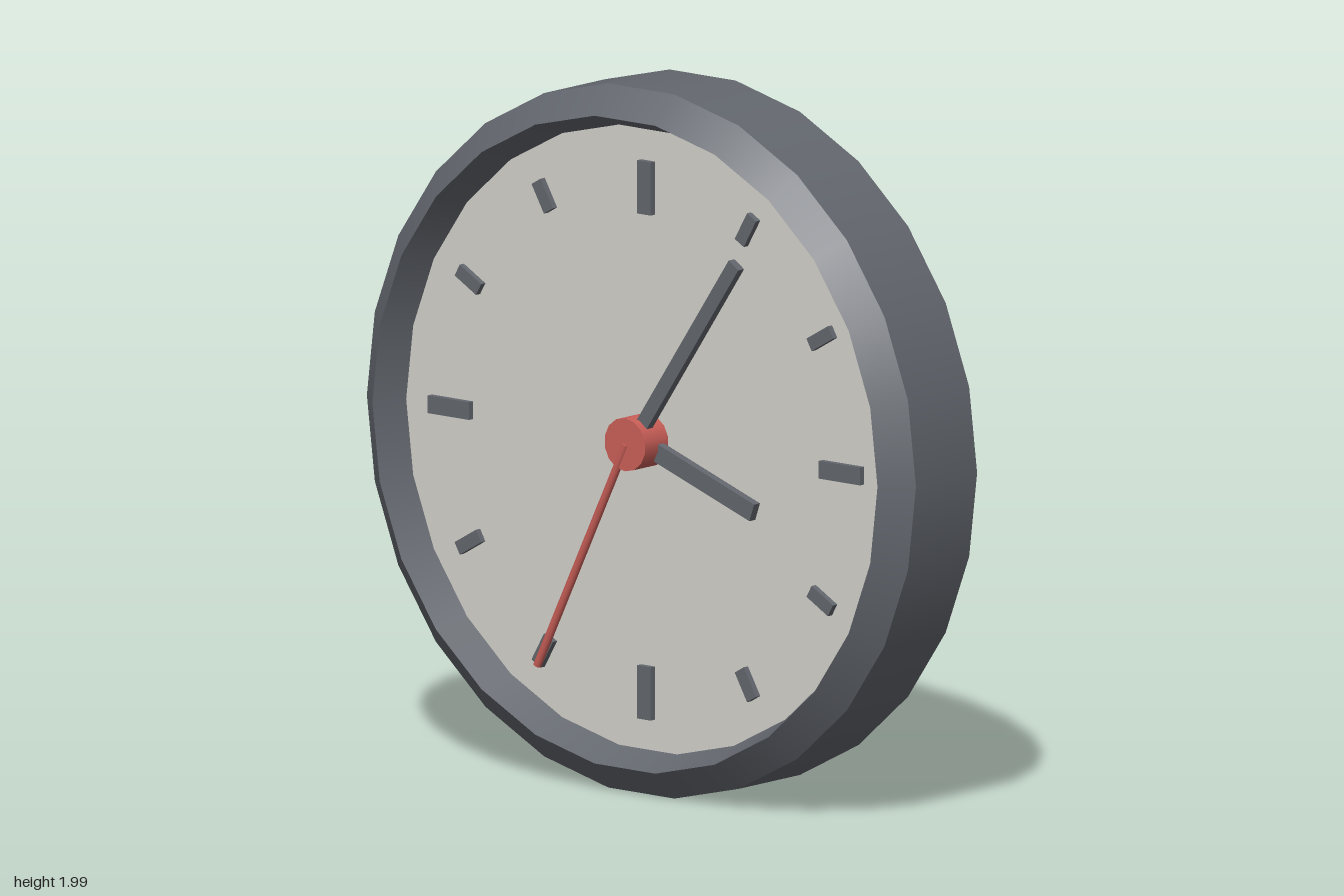
import * as THREE from 'three';

const SIDES = 26;

export function createModel() {
  const material = (name, color, side = THREE.FrontSide) => {
    const m = new THREE.MeshStandardMaterial({ color, side });
    m.name = name;
    return m;
  };
  const slate = material('slate grey', 0x63676e);
  const ivory = material('pale ivory', 0xd3d1cb);
  const red = material('coral red', 0xcb5f58);

  const clock = new THREE.Group();
  clock.name = 'wallClock';
  clock.position.y = 0.993;

  const add = (name, geometry, mat, parent = clock) => {
    const mesh = new THREE.Mesh(geometry, mat);
    mesh.name = name;
    parent.add(mesh);
    return mesh;
  };

  // Case: one lathe band per profile segment keeps the rims sharp
  const band = (name, ...points) => {
    const profile = points.map(([r, z]) => new THREE.Vector2(r, z));
    const geometry = new THREE.LatheGeometry(profile, SIDES, Math.PI / 2);
    add(name, geometry.rotateX(Math.PI / 2), slate);
  };
  band('backCover', [0, -0.187], [0.12, -0.185], [1, -0.15]);
  band('caseSide', [1, -0.15], [1, 0.11]);
  band('frontBevel', [1, 0.11], [0.92, 0.18]);
  band('innerRim', [0.92, 0.18], [0.88, 0.08]);

  // Dial
  add('dial', new THREE.CircleGeometry(0.882, SIDES), ivory).position.z = 0.082;

  // A bar lying along a clockwise angle from twelve, between two radii
  const bar = (name, degrees, from, to, width, back, front) => {
    const geometry = new THREE.BoxGeometry(width, to - from, front - back);
    geometry.translate(0, (from + to) / 2, (front + back) / 2);
    add(name, geometry, slate).rotation.z = -THREE.MathUtils.degToRad(degrees);
  };

  // Hour marks, longer at the quarters
  for (let hour = 0; hour < 12; hour++) {
    if (hour % 3 === 0) bar('quarterMark', hour * 30, 0.637, 0.787, 0.05, 0.075, 0.1);
    else bar('hourMark', hour * 30, 0.695, 0.785, 0.038, 0.075, 0.1);
  }

  // Hands
  bar('hourHand', 109.5, 0, 0.44, 0.052, 0.1, 0.125);
  bar('minuteHand', 34.2, 0, 0.665, 0.042, 0.13, 0.155);

  const secondHand = new THREE.CylinderGeometry(0.012, 0.012, 0.74, 8);
  secondHand.translate(0, 0.37, 0.174);
  add('secondHand', secondHand, red).rotation.z = -THREE.MathUtils.degToRad(206);

  // Centre hub
  const hub = new THREE.CylinderGeometry(0.075, 0.075, 0.1, 14);
  add('hub', hub.rotateX(Math.PI / 2), red).position.z = 0.13;

  return clock;
}
